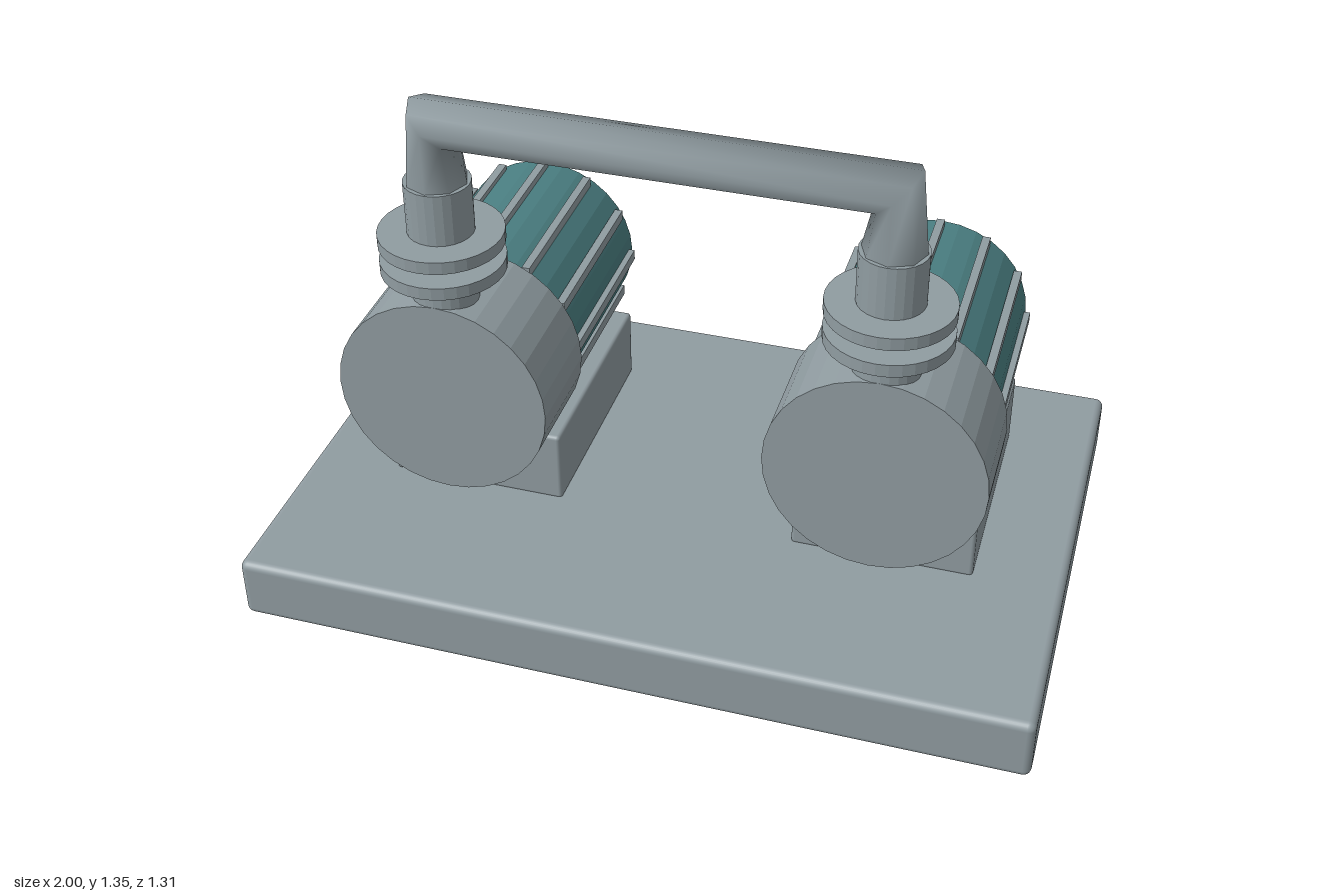
import * as THREE from 'three';
import { RoundedBoxGeometry } from 'three/addons/geometries/RoundedBoxGeometry.js';

const grey = new THREE.MeshStandardMaterial({ color: 0x909ca1 });
grey.name = 'steel grey';
const teal = new THREE.MeshStandardMaterial({ color: 0x4a7e81 });
teal.name = 'motor teal';

const PUMP_X = 0.54, AXIS_Y = 0.567, PIPE_Z = 0.285;

function part(parent, name, geometry, material, x, y, z) {
  const mesh = new THREE.Mesh(geometry, material);
  mesh.name = name;
  mesh.position.set(x, y, z);
  parent.add(mesh);
  return mesh;
}

// Faceted cylinder with flat side normals
function drum(radius, length, sides, alongZ = false) {
  const g = new THREE.CylinderGeometry(radius, radius, length, sides);
  if (alongZ) g.rotateX(Math.PI / 2);
  const flat = g.toNonIndexed();
  flat.computeVertexNormals();
  return flat;
}

function createPump(name, x) {
  const pump = new THREE.Group();
  pump.name = name;
  pump.position.x = x;

  part(pump, 'mountingBlock', new RoundedBoxGeometry(0.465, 0.2, 0.6, 2, 0.01), grey, 0, 0.262, -0.115);
  part(pump, 'pumpCasing', drum(0.27, 0.269, 32, true), grey, 0, AXIS_Y, 0.2315);
  part(pump, 'motor', drum(0.237, 0.52, 32, true), teal, 0, AXIS_Y, -0.162);

  // Upright cooling fins around the motor
  const fin = new THREE.BoxGeometry(0.021, 0.028, 0.47);
  for (let i = 0; i < 12; i++) {
    const a = (i * Math.PI) / 6;
    part(pump, 'coolingFin', fin, grey, Math.cos(a) * 0.241, AXIS_Y + Math.sin(a) * 0.241, -0.164);
  }

  // Outlet with its pair of flanges
  part(pump, 'outlet', drum(0.081, 0.365, 24), grey, 0, 0.9625, PIPE_Z);
  for (const y of [0.924, 0.995]) {
    part(pump, 'flange', drum(0.152, 0.032, 32), grey, 0, y, PIPE_Z);
  }
  return pump;
}

// Path with one ring at each end and one diagonal ring at each corner
class ManifoldPath extends THREE.Curve {
  constructor() {
    super();
    this.points = [[-PUMP_X, 1.14], [-PUMP_X, 1.298], [PUMP_X, 1.298], [PUMP_X, 1.14]]
      .map(([x, y]) => new THREE.Vector3(x, y, 0));
    this.tangents = [[0, 1], [1, 1], [1, -1], [0, -1]]
      .map(([x, y]) => new THREE.Vector3(x, y, 0).normalize());
  }
  getPointAt(u, target = new THREE.Vector3()) {
    return target.copy(this.points[Math.round(u * 3)]);
  }
  getTangentAt(u, target = new THREE.Vector3()) {
    return target.copy(this.tangents[Math.round(u * 3)]);
  }
}

export function createModel() {
  const model = new THREE.Group();
  model.name = 'twinPumpSkid';

  part(model, 'basePlate', new RoundedBoxGeometry(2, 0.167, 1.312, 3, 0.02), grey, 0, 0.0835, 0);
  model.add(createPump('leftPump', PUMP_X), createPump('rightPump', -PUMP_X));
  part(model, 'connectingPipe', new THREE.TubeGeometry(new ManifoldPath(), 3, 0.076, 8), grey, 0, 0, PIPE_Z);

  return model;
}
